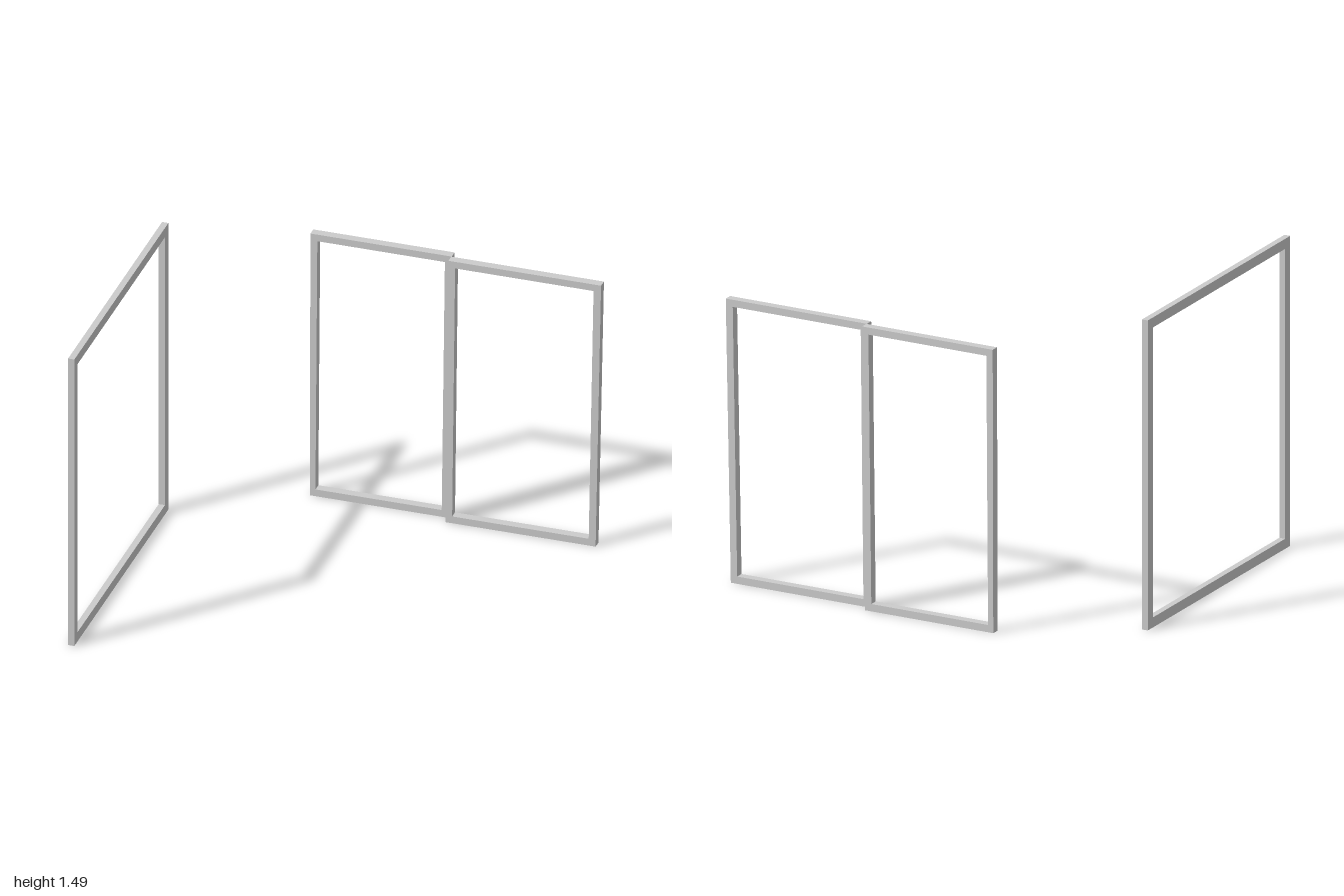
import * as THREE from 'three';

const material = new THREE.MeshStandardMaterial({ color: 0xcccccc, flatShading: true });

// Four-sided frame: outer and inner corners run bottom left, bottom right, top right, top left
function frame(name, outer, inner, depth) {
  const toPoints = (corners) => corners.map(([x, y]) => new THREE.Vector2(x, y));
  const shape = new THREE.Shape(toPoints(outer));
  shape.holes.push(new THREE.Path(toPoints(inner)));
  const geometry = new THREE.ExtrudeGeometry(shape, { depth, bevelEnabled: false });
  const mesh = new THREE.Mesh(geometry, material);
  mesh.name = name;
  return mesh;
}

const corners = (x0, x1, y0, y1) => [[x0, y0], [x1, y0], [x1, y1], [x0, y1]];

export function createModel() {
  const group = new THREE.Group();
  group.name = 'windowFrames';

  // Large single frame standing along z
  const side = frame('sideFrame',
    corners(-0.855, 0.485, 0, 1.485), corners(-0.807, 0.437, 0.048, 1.437), 0.03);
  side.rotation.y = Math.PI / 2;
  side.position.x = -1;
  group.add(side);

  // Pair of sliding sashes, slightly skewed, one behind the other
  const rear = frame('rearSash',
    [[-0.405, 0], [0.257, 0], [0.273, 1.357], [-0.402, 1.357]],
    [[-0.378, 0.035], [0.225, 0.035], [0.24, 1.323], [-0.369, 1.323]], 0.041);
  rear.position.z = -0.855;

  const front = frame('frontSash',
    [[0.257, 0], [0.974, 0], [1, 1.357], [0.271, 1.357]],
    [[0.289, 0.035], [0.941, 0.035], [0.964, 1.323], [0.303, 1.323]], 0.041);
  front.position.z = -0.813;

  group.add(rear, front);
  return group;
}
